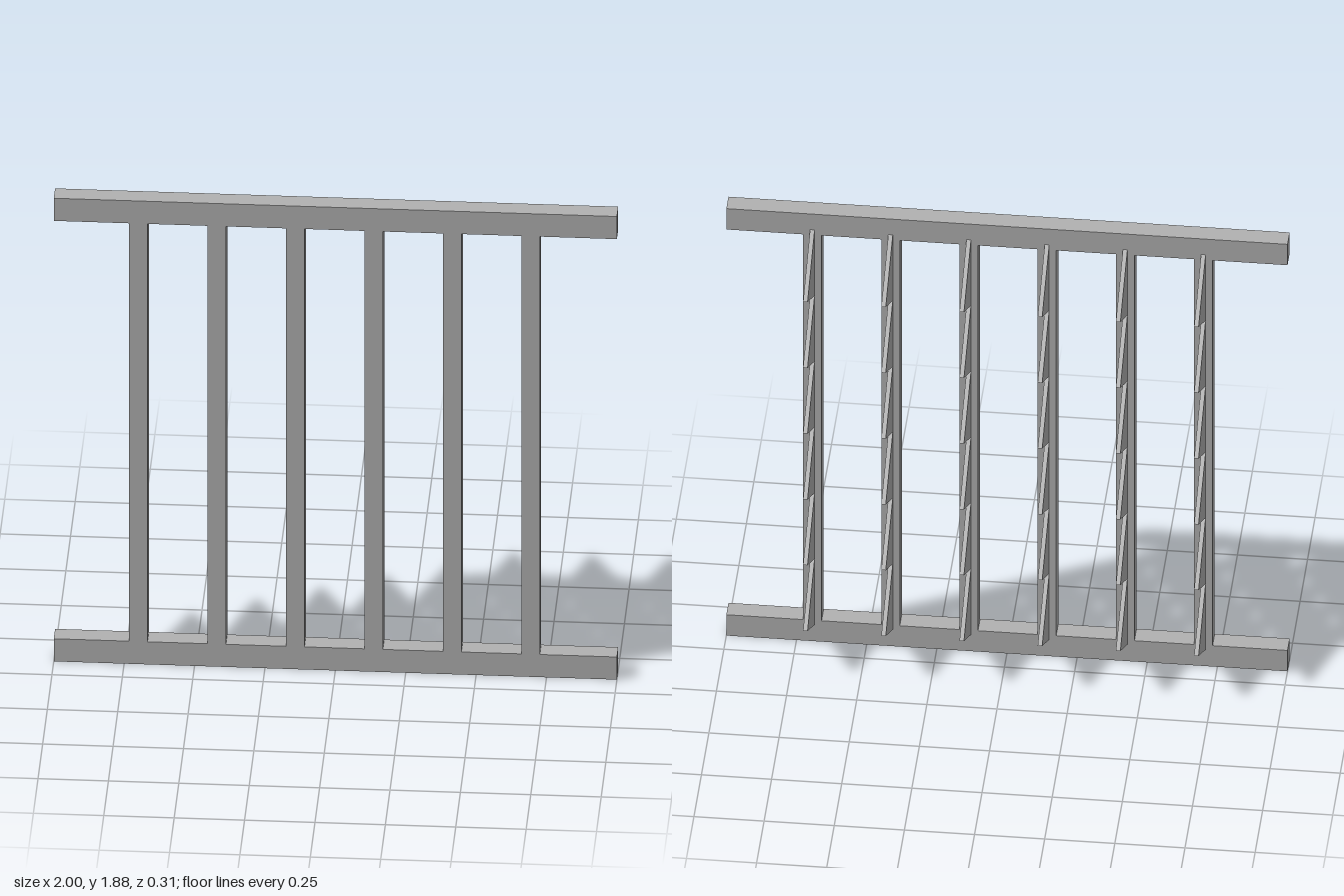
import * as THREE from 'three';

export function createModel() {
  const model = new THREE.Group();
  model.name = 'spikedGrate';
  const steel = new THREE.MeshStandardMaterial({ color: 0xb2b2b2 });
  steel.name = 'grey steel';

  const back = 0.082, front = 0.153, depth = front - back;
  const height = 1.885, railHeight = 0.092;

  function addBox(name, w, h, x, y) {
    const mesh = new THREE.Mesh(new THREE.BoxGeometry(w, h, depth), steel);
    mesh.name = name;
    mesh.position.set(x, y, (back + front) / 2);
    model.add(mesh);
  }

  // Horizontal rails
  addBox('bottomRail', 2, railHeight, 0, railHeight / 2);
  addBox('topRail', 2, railHeight, 0, height - railHeight / 2);

  // Triangular spike plate: base on the bar, tip pointing backward
  const pitch = 0.2905, thickness = 0.016;
  const triangle = new THREE.Shape([
    new THREE.Vector2(0, -pitch / 2),
    new THREE.Vector2(front + back, 0),
    new THREE.Vector2(0, pitch / 2),
  ]);
  const spikeGeometry = new THREE.ExtrudeGeometry(triangle, { depth: thickness, bevelEnabled: false });
  spikeGeometry.translate(0, 0, -thickness / 2);
  spikeGeometry.rotateY(Math.PI / 2);

  // Upright bars, each with a row of spikes behind
  for (let i = 0; i < 6; i++) {
    const x = -0.7 + i * 0.2787;
    addBox('uprightBar', 0.066, height - 2 * railHeight, x, height / 2);

    const row = new THREE.Group();
    row.name = 'spikeRow';
    for (let j = 0; j < 6; j++) {
      const spike = new THREE.Mesh(spikeGeometry, steel);
      spike.name = 'spike';
      spike.position.set(x, 0.218 + j * pitch, back);
      row.add(spike);
    }
    model.add(row);
  }
  return model;
}
